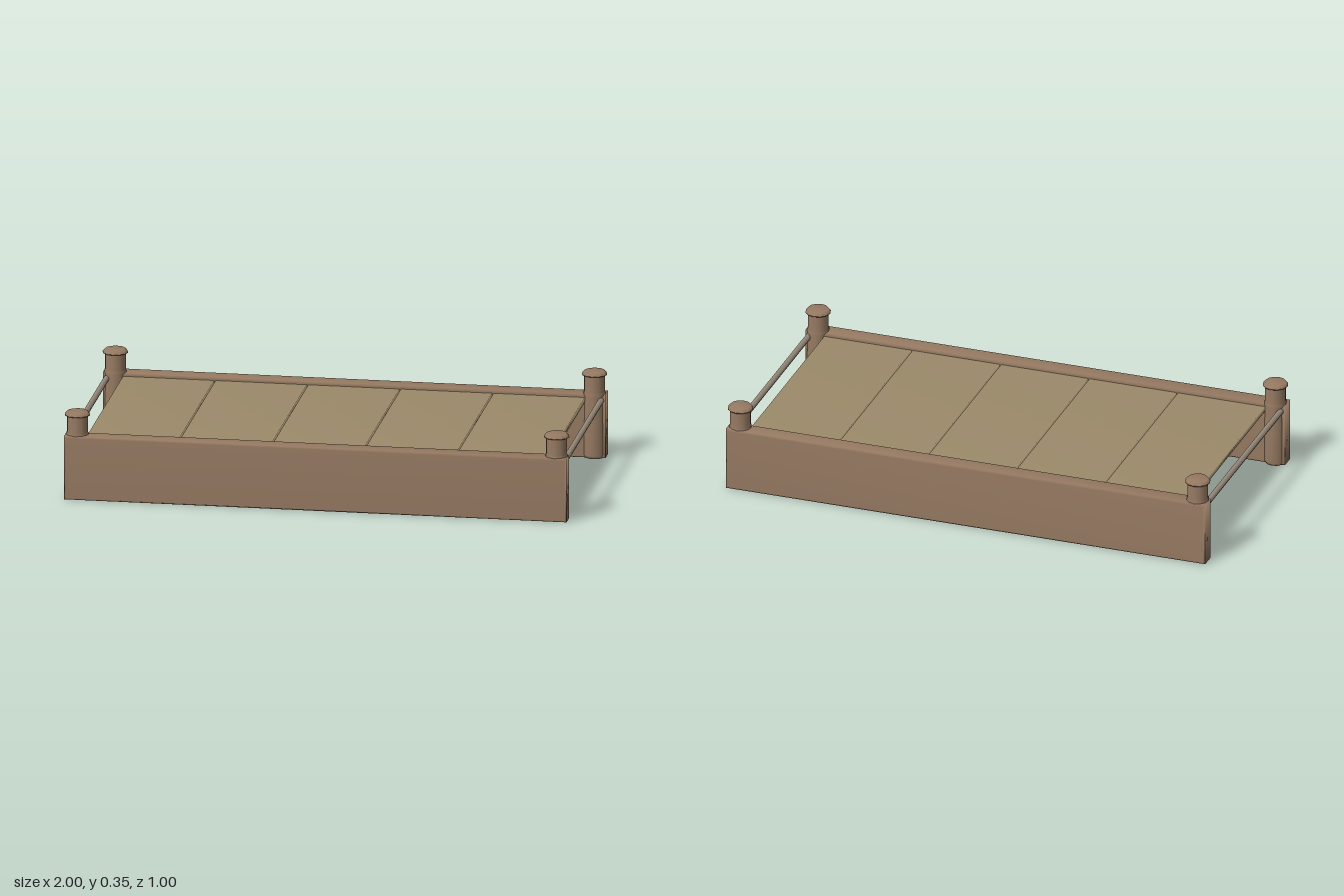
import * as THREE from 'three';
import { mergeVertices } from 'three/addons/utils/BufferGeometryUtils.js';

const wood = new THREE.MeshStandardMaterial({ color: 0x967a62 });
const plankWood = new THREE.MeshStandardMaterial({ color: 0x9c8a6a });
const rodWood = new THREE.MeshStandardMaterial({ color: 0x9a8c7c });

// Share corner vertices so the shading blends across edges
function smooth(geometry) {
  geometry.deleteAttribute('normal');
  geometry.deleteAttribute('uv');
  const merged = mergeVertices(geometry, 1e-4);
  merged.computeVertexNormals();
  return merged;
}

// Box with a flat chamfer on every edge
function chamferedBox(w, h, d, c) {
  const x = w / 2 - c, y = h / 2 - c;
  const shape = new THREE.Shape([
    new THREE.Vector2(-x, -y), new THREE.Vector2(x, -y),
    new THREE.Vector2(x, y), new THREE.Vector2(-x, y),
  ]);
  const geometry = new THREE.ExtrudeGeometry(shape, {
    depth: d - 2 * c, bevelSize: c, bevelThickness: c, bevelSegments: 1, steps: 1,
  });
  geometry.translate(0, 0, c - d / 2);
  return smooth(geometry);
}

export function createModel() {
  const group = new THREE.Group();
  const add = (name, geometry, material, x, y, z) => {
    const mesh = new THREE.Mesh(geometry, material);
    mesh.name = name;
    mesh.position.set(x, y, z);
    group.add(mesh);
    return mesh;
  };

  // Long side beams
  const beam = chamferedBox(1.99, 0.257, 0.075, 0.007);
  for (const s of [-1, 1]) add('sideBeam', beam, wood, 0, 0.1285, s * 0.4615);

  // Five wide deck planks
  const plank = smooth(new THREE.BoxGeometry(0.361, 0.02, 0.86));
  for (let i = -2; i <= 2; i++) add('deckPlank', plank, plankWood, i * 0.367, 0.235, 0);

  // Corner posts with a collar
  const post = new THREE.LatheGeometry([
    [0, 0], [0.04, 0], [0.046, 0.012], [0.046, 0.14], [0.044, 0.25],
    [0.044, 0.262], [0.0415, 0.268], [0.0415, 0.336],
  ].map(([r, y]) => new THREE.Vector2(r, y)), 12);

  // Flared post caps
  const cap = new THREE.LatheGeometry([
    [0, 0.334], [0.05, 0.334], [0.05, 0.338], [0.041, 0.349], [0, 0.35],
  ].map(([r, y]) => new THREE.Vector2(r, y)), 12);

  for (const sx of [-1, 1]) {
    for (const sz of [-1, 1]) {
      add('cornerPost', post, wood, sx * 0.949, 0, sz * 0.45);
      add('postCap', cap, wood, sx * 0.949, 0, sz * 0.45);
    }
  }

  // End rods between the posts
  const rod = new THREE.CylinderGeometry(0.012, 0.012, 0.9, 8);
  rod.rotateX(Math.PI / 2);
  for (const s of [-1, 1]) add('endRod', rod, rodWood, s * 0.979, 0.235, 0);

  return group;
}
